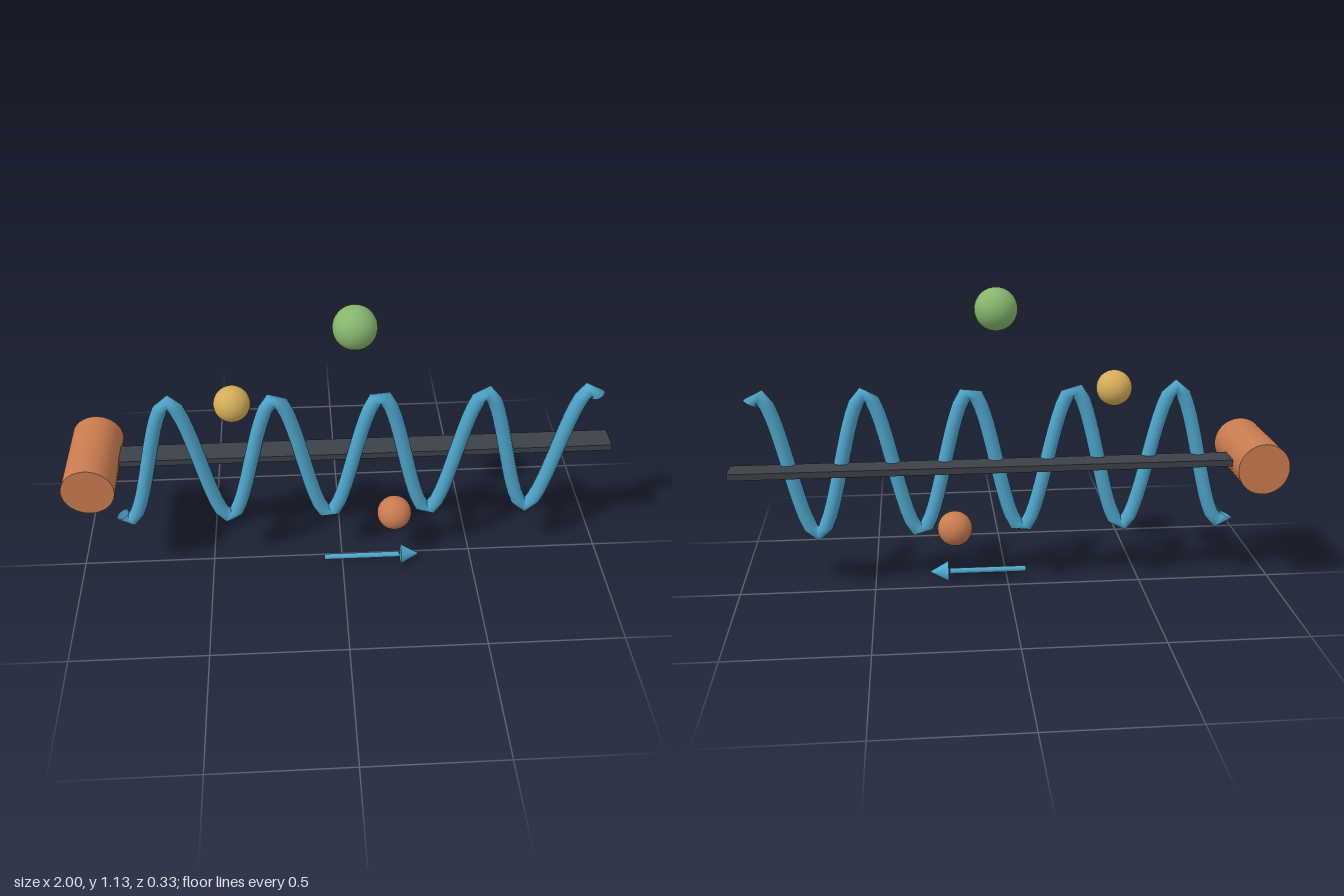
import * as THREE from 'three';

const paint = (name, color) => {
  const m = new THREE.MeshStandardMaterial({ color });
  m.name = name;
  return m;
};

// Sine path the coil wire follows
class WavePath extends THREE.Curve {
  getPoint(t, target = new THREE.Vector3()) {
    const dx = (t - 0.5) * 1.739;
    return target.set(0.0435 + dx, 0.4975 + 0.265 * Math.sin((dx * Math.PI * 2) / 0.375), 0.01);
  }
}

export function createModel() {
  const group = new THREE.Group();
  const copper = paint('copper', 0xc97b4f);
  const blue = paint('blue', 0x4ea5cb);
  const charcoal = paint('charcoal', 0x3b4147);
  const gold = paint('gold', 0xd4ac58);
  const green = paint('green', 0x86b56d);

  const add = (name, geometry, material, x = 0, y = 0, z = 0) => {
    const mesh = new THREE.Mesh(geometry, material);
    mesh.name = name;
    mesh.position.set(x, y, z);
    group.add(mesh);
    return mesh;
  };

  // Flat axis bar, with its left end set into the drum
  add('axisBar', new THREE.BoxGeometry(1.9, 0.024, 0.095), charcoal, 0.05, 0.495, -0.038);

  // Drum lying along z
  add('drum', new THREE.CylinderGeometry(0.094, 0.094, 0.328, 40), copper, -0.906, 0.495, 0)
    .rotation.x = Math.PI / 2;

  // Wave wire, open at both ends
  const path = new WavePath();
  path.arcLengthDivisions = 1000;
  blue.side = THREE.DoubleSide;
  add('wave', new THREE.TubeGeometry(path, 120, 0.027, 12, false), blue);

  // Floating balls
  for (const [name, material, r, x, y] of [
    ['topBall', green, 0.077, 0.042, 1.056],
    ['crestBall', gold, 0.065, -0.387, 0.76],
    ['troughBall', copper, 0.065, 0.198, 0.23],
  ]) add(name, new THREE.SphereGeometry(r, 32, 20), material, x, y, 0.025);

  // Direction arrow
  add('arrowShaft', new THREE.CylinderGeometry(0.011, 0.011, 0.29, 12), blue, 0.074, 0.042, 0.056)
    .rotation.z = -Math.PI / 2;
  add('arrowHead', new THREE.ConeGeometry(0.039, 0.072, 20), blue, 0.26, 0.042, 0.056)
    .rotation.z = -Math.PI / 2;

  return group;
}
